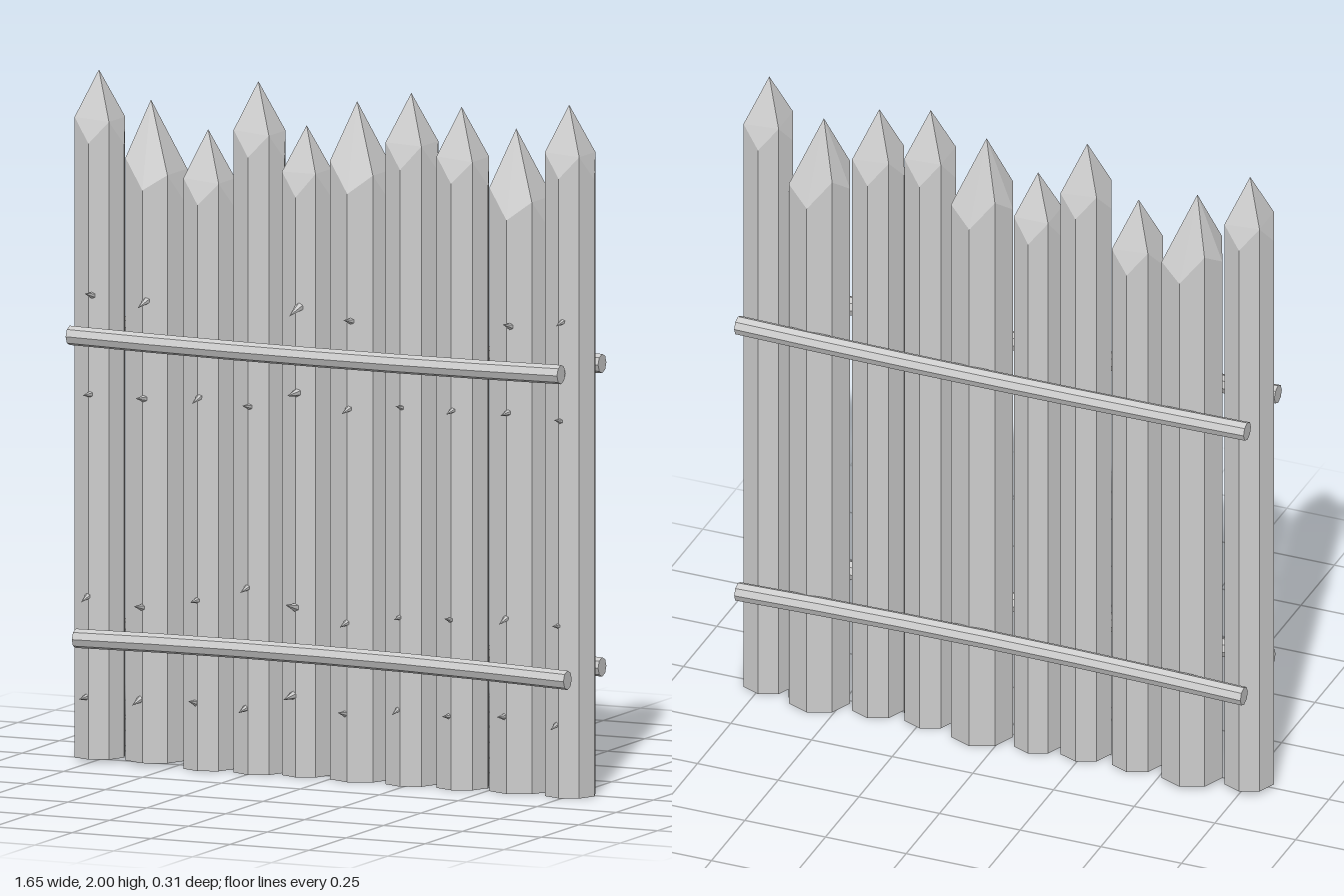
import * as THREE from 'three';
import { ConvexGeometry } from 'three/addons/geometries/ConvexGeometry.js';

const wood = new THREE.MeshStandardMaterial({ color: 0xcccccc, flatShading: true });
wood.name = 'grey wood';

// Stakes: centre x, centre z, radius, tip height, tip shift in x, base height
const STAKES = [
  [-0.751, 0.005, 0.077, 2.0, -0.003, 0.01],
  [-0.583, -0.018, 0.094, 1.92, -0.017, 0.01],
  [-0.405, 0.003, 0.079, 1.85, -0.004, 0],
  [-0.246, 0.003, 0.079, 2.0, -0.004, 0],
  [-0.103, -0.01, 0.075, 1.88, 0, 0],
  [0.069, -0.014, 0.096, 1.96, -0.014, 0],
  [0.24, 0.01, 0.08, 2.0, -0.002, 0],
  [0.4, 0.007, 0.08, 1.97, -0.004, 0],
  [0.573, -0.014, 0.095, 1.915, -0.014, 0],
  [0.742, 0.012, 0.077, 2.0, -0.003, 0],
];

// Nail heights for each stake, from the bottom up
const NAILS = [
  [0.19, 0.48, 1.07, 1.36],
  [0.19, 0.465, 1.07, 1.345],
  [0.2, 0.495, 1.08],
  [0.19, 0.54, 1.07],
  [0.235, 0.5, 1.115, 1.355],
  [0.2, 0.46, 1.08, 1.34],
  [0.22, 0.49, 1.1],
  [0.215, 0.495, 1.1],
  [0.225, 0.505, 1.105, 1.36],
  [0.21, 0.5, 1.095, 1.38],
];

// Eight-sided post cut to a point by four sloping faces
function stakeGeometry(r, tip, shift, base) {
  const points = [new THREE.Vector3(shift, tip, 0)];
  for (let i = 0; i < 8; i++) {
    const a = (i * Math.PI) / 4;
    const x = r * Math.cos(a), z = r * Math.sin(a);
    const slope = i % 2 ? 2.45 : 2.65;
    const reach = Math.max(Math.abs(x - shift), Math.abs(z));
    points.push(new THREE.Vector3(x, base, z));
    points.push(new THREE.Vector3(x, tip - slope * reach, z));
  }
  return new ConvexGeometry(points);
}

// Round rail between two ends, lifted by bow at its middle
function railGeometry(from, to, bow) {
  const g = new THREE.CylinderGeometry(0.028, 0.028, 1, 8, 6);
  g.rotateZ(-Math.PI / 2);
  const p = g.attributes.position;
  for (let i = 0; i < p.count; i++) {
    const t = p.getX(i) + 0.5;
    p.setXYZ(i,
      THREE.MathUtils.lerp(from[0], to[0], t),
      p.getY(i) + THREE.MathUtils.lerp(from[1], to[1], t) + bow * 4 * t * (1 - t),
      p.getZ(i) + THREE.MathUtils.lerp(from[2], to[2], t));
  }
  g.computeVertexNormals();
  return g;
}

export function createModel() {
  const model = new THREE.Group();
  model.name = 'palisade';
  const add = (name, geometry) => {
    const mesh = new THREE.Mesh(geometry, wood);
    mesh.name = name;
    model.add(mesh);
    return mesh;
  };

  // Stakes with their nails
  const nail = new THREE.ConeGeometry(0.013, 0.07, 6);
  nail.rotateX(Math.PI / 2);
  STAKES.forEach(([x, z, r, tip, shift, base], i) => {
    add('stake', stakeGeometry(r, tip, shift, base)).position.set(x, 0, z);
    NAILS[i].forEach((y, j) => {
      const spike = add('nail', nail);
      spike.position.set(x + 0.006 * (j - 1.5), y, 0.092);
      spike.rotation.x = 0.25 * Math.sin(i * 2.3 + j * 1.7);
    });
  });

  // Cross rails on both faces
  add('frontUpperRail', railGeometry([-0.8, 1.24, 0.103], [0.765, 1.235, 0.121], -0.007));
  add('frontLowerRail', railGeometry([-0.78, 0.363, 0.104], [0.786, 0.35, 0.122], 0.012));
  add('backUpperRail', railGeometry([-0.8, 1.24, -0.128], [0.785, 1.235, -0.112], -0.007));
  add('backLowerRail', railGeometry([-0.79, 0.363, -0.128], [0.785, 0.355, -0.112], 0.012));
  return model;
}
